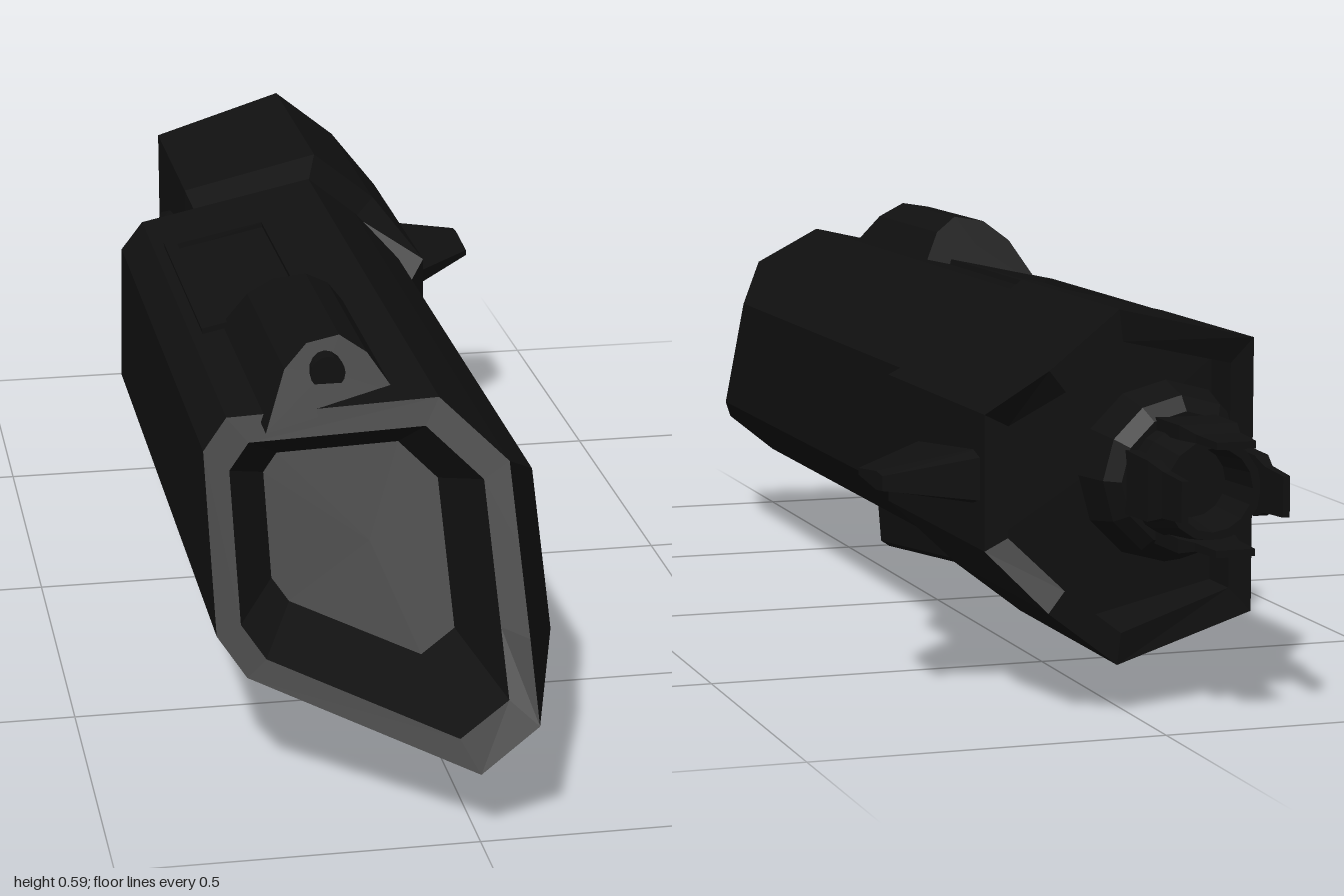
import * as THREE from 'three';

const material = new THREE.MeshStandardMaterial({ color: 0x101010, flatShading: true, side: THREE.DoubleSide });

function add(group, name, geometry) {
  const mesh = new THREE.Mesh(geometry, material);
  mesh.name = name;
  group.add(mesh);
  return mesh;
}

// Skin between rings of [x, y, z] points, clockwise seen from +z, listed front to back
function loft(rings) {
  const pos = [];
  const tri = (a, b, c) => pos.push(...a, ...b, ...c);
  const n = rings[0].length;
  const middle = (ring) => [0, 1, 2].map((k) => ring.reduce((s, p) => s + p[k], 0) / n);
  const last = rings[rings.length - 1];
  const c0 = middle(rings[0]), c1 = middle(last);
  for (let i = 0; i < n; i++) {
    const j = (i + 1) % n;
    tri(c0, rings[0][j], rings[0][i]);
    for (let r = 0; r < rings.length - 1; r++) {
      const a = rings[r], b = rings[r + 1];
      tri(a[i], a[j], b[j]);
      tri(a[i], b[j], b[i]);
    }
    tri(c1, last[i], last[j]);
  }
  const g = new THREE.BufferGeometry();
  g.setAttribute('position', new THREE.Float32BufferAttribute(pos, 3));
  g.computeVertexNormals();
  return g;
}

// Scale a 2D outline about a centre
const shrink = (pts, s, cx, cy) => pts.map(([x, y]) => [cx + (x - cx) * s, cy + (y - cy) * s]);
// Give a 2D outline depth: z is a number or a rule of x, y and index
const at = (pts, z) => pts.map(([x, y], i) => [x, y, typeof z === 'number' ? z : z(x, y, i)]);

function makeHull(group) {
  const outline = [[0, 0.535], [0.08, 0.47], [0.14, 0.41], [0.14, 0.22], [0.08, 0.165],
    [0, 0.1], [-0.285, 0.167], [-0.32, 0.21], [-0.315, 0.43], [-0.28, 0.475]];
  // The bow is cut by one slanted plane; the side panel behind it starts further aft
  const bow = (x, y) => Math.min(1, 1 + 0.62 * x - 0.7 * (y - 0.1));
  const mouth = outline.map((p) => [...p]);
  mouth[2] = [0.08, 0.37];
  mouth[3] = [0.08, 0.265];
  const inner = shrink(mouth, 0.83, -0.125, 0.318);
  const deep = shrink(mouth, 0.58, -0.1, 0.315);
  add(group, 'hull', loft([
    at(deep, (x, y) => bow(x, y) - 0.12),
    at(inner, bow),
    at(mouth, bow),
    at(outline, (x, y, i) => (i === 2 ? 0.67 : i === 3 ? 0.8 : bow(x, y))),
    at(outline, -0.4),
    at(shrink(outline, 0.8, -0.1, 0.315), -0.4),
    at(shrink(outline, 0.58, -0.1, 0.315), -0.5),
  ]));
}

function makeArmor(group) {
  const outer = [[-0.2, 0.508], [0.02, 0.56], [0.12, 0.48], [0.18, 0.41],
    [0.18, 0.22], [0.12, 0.147], [0.02, 0.07], [-0.2, 0.122]];
  const nose = [[-0.19, 0.485], [0, 0.53], [0.08, 0.465], [0.138, 0.36],
    [0.138, 0.27], [0.08, 0.165], [0, 0.1], [-0.19, 0.145]];
  const aft = (x) => (x > 0.125 ? -0.77 : x < -0.1 ? -0.81 : -0.865);
  const backZ = outer.map(([x]) => aft(x));
  const inner = shrink(outer, 0.82, -0.01, 0.315);
  add(group, 'rearArmor', loft([
    at(nose, (x) => (x > 0.1 ? -0.28 : -0.4)),
    at(outer, (x) => (x > 0.15 ? -0.32 : -0.46)),
    at(outer, aft),
    at(inner, (x, y, i) => backZ[i]),
    at(inner, -0.74),
  ]));
}

function makeFin(group) {
  // Diamond-like blade sections running outward along x
  const section = (x, front, back, h) => [
    [x, 0.318 + h * 0.35, front], [x, 0.318 + h, back + 0.03], [x, 0.318 + h * 0.8, back],
    [x, 0.318 - h * 0.8, back], [x, 0.318 - h, back + 0.03], [x, 0.318 - h * 0.35, front]];
  add(group, 'sideFin', loft([section(0.16, -0.445, -0.75, 0.041), section(0.319, -0.63, -0.745, 0.013)]));
}

function makeTopPod(group) {
  const profile = [[-0.235, 0.475], [-0.2, 0.55], [-0.165, 0.58], [-0.117, 0.588], [-0.08, 0.565], [-0.045, 0.515]];
  add(group, 'topPod', loft([
    at(profile, (x, y) => 0.6 - (y - 0.53) * 0.7),
    at(profile, (x, y) => 0.22 + (y - 0.53) * 0.9),
  ]));
  const lens = add(group, 'topPodLens', new THREE.CylinderGeometry(0.025, 0.025, 0.05, 16).rotateX(Math.PI / 2));
  lens.position.set(-0.14, 0.545, 0.575);
}

function makeBellyPod(group) {
  const profile = [[-0.235, 0.18], [-0.045, 0.14], [-0.055, 0.01], [-0.07, 0], [-0.22, 0.037], [-0.235, 0.06]];
  const recess = shrink(profile, 0.78, -0.14, 0.085);
  const raised = profile.map(([x, y]) => [x, y < 0.1 ? y + 0.066 : y]);
  add(group, 'bellyPod', loft([
    at(recess, 0.475), at(recess, 0.49), at(profile, 0.49), at(raised, -0.19),
    at(raised.map(([x, y]) => [x, y + 0.02]), -0.205),
  ]));
}

function makeTopFrame(group) {
  // Low frame lying on the sloped roof
  const frame = new THREE.Group();
  frame.name = 'roofFrame';
  for (const s of [-1, 1]) {
    add(frame, 'frameRail', new THREE.BoxGeometry(0.02, 0.014, 0.43)).position.x = s * 0.08;
    add(frame, 'frameEnd', new THREE.BoxGeometry(0.18, 0.014, 0.025)).position.z = s * 0.21;
  }
  frame.position.set(-0.175, 0.499, -0.02);
  frame.rotation.z = Math.atan(0.214);
  group.add(frame);
}

function makeEngine(group) {
  const engine = new THREE.Group();
  engine.name = 'engine';
  // Radius and distance aft along the engine axis
  const lathe = (pts, sides) =>
    new THREE.LatheGeometry(pts.map(([r, d]) => new THREE.Vector2(r, d)), sides).rotateX(-Math.PI / 2);
  add(engine, 'engineDrum', lathe([[0, 0.45], [0.1, 0.48], [0.12, 0.55], [0.155, 0.6], [0.148, 0.66],
    [0.115, 0.8], [0.095, 0.82], [0, 0.82]], 12));
  add(engine, 'nozzle', lathe([[0.085, 0.8], [0.085, 0.85], [0.07, 0.92], [0.058, 0.92], [0.05, 0.84], [0, 0.84]], 16));
  // Four claws around the nozzle
  const slab = (w, r0, r1, z) => [[-w, r1, z], [w, r1, z], [w, r0, z], [-w, r0, z]];
  for (let i = 0; i < 4; i++) {
    add(engine, 'nozzleClaw', loft([
      slab(0.045, 0.066, 0.088, -0.8), slab(0.042, 0.068, 0.088, -0.9),
      slab(0.032, 0.068, 0.08, -0.935), slab(0.028, 0.068, 0.078, -1),
    ])).rotation.z = i * Math.PI / 2;
  }
  engine.position.set(-0.097, 0.315, 0);
  group.add(engine);
}

export function createModel() {
  const group = new THREE.Group();
  group.name = 'spacecraftPod';
  [makeHull, makeArmor, makeFin, makeTopPod, makeBellyPod, makeTopFrame, makeEngine].forEach((make) => make(group));
  return group;
}
